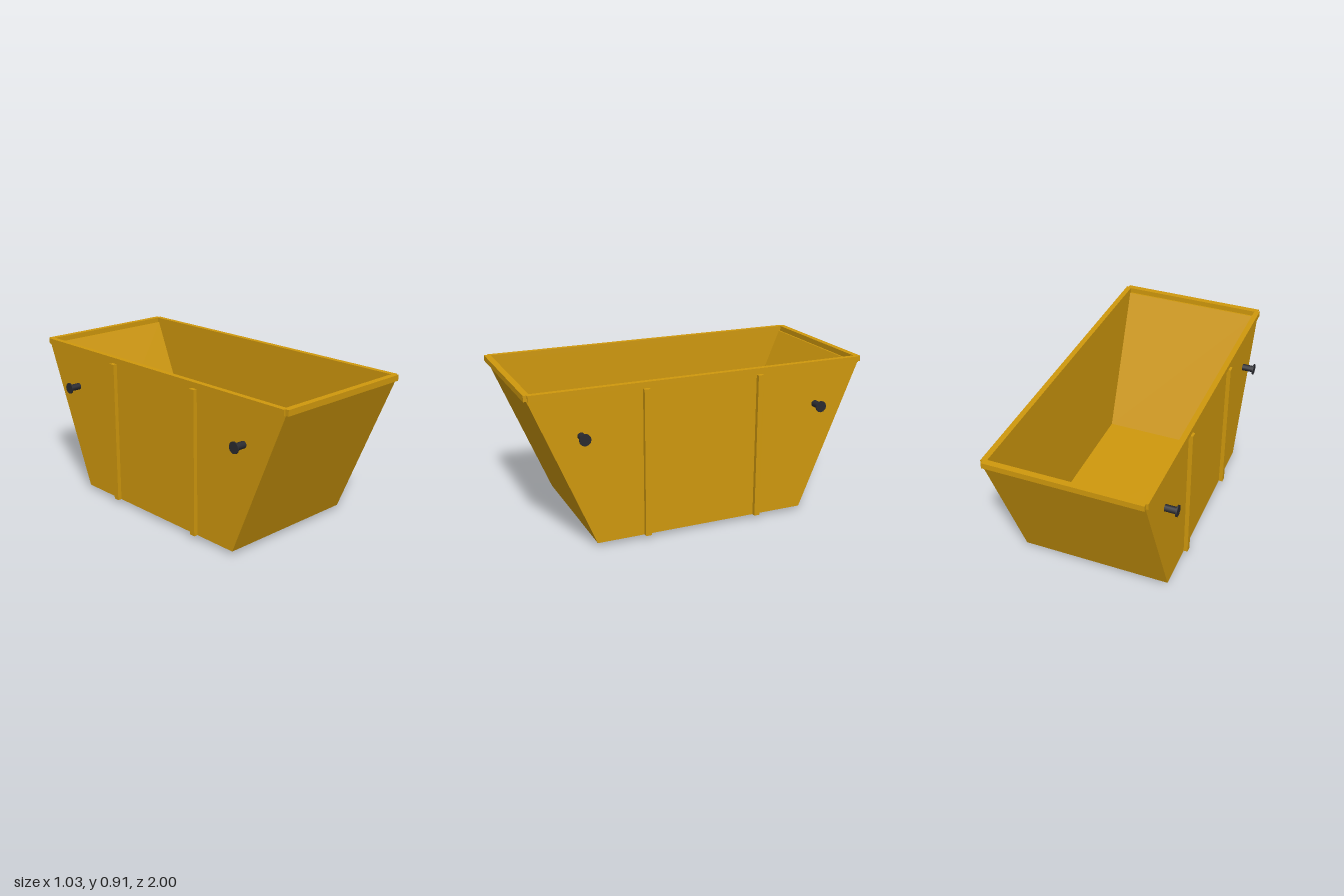
import * as THREE from 'three';

export function createModel() {
  const model = new THREE.Group();
  model.name = 'skipContainer';

  const yellow = new THREE.MeshStandardMaterial({ color: 0xcf980d });
  yellow.name = 'yellowPaint';
  const dark = new THREE.MeshStandardMaterial({ color: 0x2a2a2f });
  dark.name = 'darkSteel';

  const add = (name, geometry, material, x = 0, y = 0, z = 0) => {
    const mesh = new THREE.Mesh(geometry, material);
    mesh.name = name;
    mesh.position.set(x, y, z);
    model.add(mesh);
    return mesh;
  };
  // box given by centre x and z, its bottom and top heights, and its width and depth
  const box = (name, material, x, z, y0, y1, w, d) =>
    add(name, new THREE.BoxGeometry(w, y1 - y0, d), material, x, (y0 + y1) / 2, z);

  // extrude a (z, y) profile across x, centred on x = 0
  const slab = (points, width) => {
    const shape = new THREE.Shape(points.map(([z, y]) => new THREE.Vector2(z, y)));
    const g = new THREE.ExtrudeGeometry(shape, { depth: width, bevelEnabled: false });
    g.translate(0, 0, -width / 2);
    g.rotateY(-Math.PI / 2);
    return g;
  };

  // floor and sloping ends as one open tray profile
  add('floorAndSlopingEnds', slab([
    [-0.63, 0.023], [0.63, 0.023], [0.985, 0.875], [0.955, 0.875],
    [0.607, 0.04], [-0.607, 0.04], [-0.955, 0.875], [-0.985, 0.875],
  ], 0.84), yellow);

  for (const s of [1, -1]) {
    const side = s > 0 ? 'left' : 'right';

    // trapezoid side wall
    add(side + 'Wall', slab([
      [-0.63, 0.023], [0.63, 0.023], [0.985, 0.875], [-0.985, 0.875],
    ], 0.02), yellow, s * 0.43);

    // rim bars
    box(side + 'Rim', yellow, s * 0.436, 0, 0.873, 0.906, 0.032, 1.96);
    box(s > 0 ? 'frontRim' : 'backRim', yellow, 0, s * 0.9825, 0.873, 0.906, 0.88, 0.035);

    // skid under the floor
    box(s > 0 ? 'frontSkid' : 'backSkid', dark, 0, s * 0.363, 0, 0.023, 0.79, 0.046);

    for (const e of [1, -1]) {
      const end = e > 0 ? 'Front' : 'Back';
      // upright stiffening rib
      box(side + end + 'Rib', yellow, s * 0.452, e * 0.339, 0.023, 0.868, 0.024, 0.035);

      // lifting pin with end cap
      const pin = add(side + end + 'LiftingPin',
        new THREE.CylinderGeometry(0.02, 0.02, 0.068, 12), dark, s * 0.473, 0.653, e * 0.705);
      const cap = add(side + end + 'PinCap',
        new THREE.CylinderGeometry(0.033, 0.033, 0.007, 12), dark, s * 0.5095, 0.653, e * 0.705);
      pin.rotation.z = cap.rotation.z = Math.PI / 2;
    }
  }
  return model;
}
